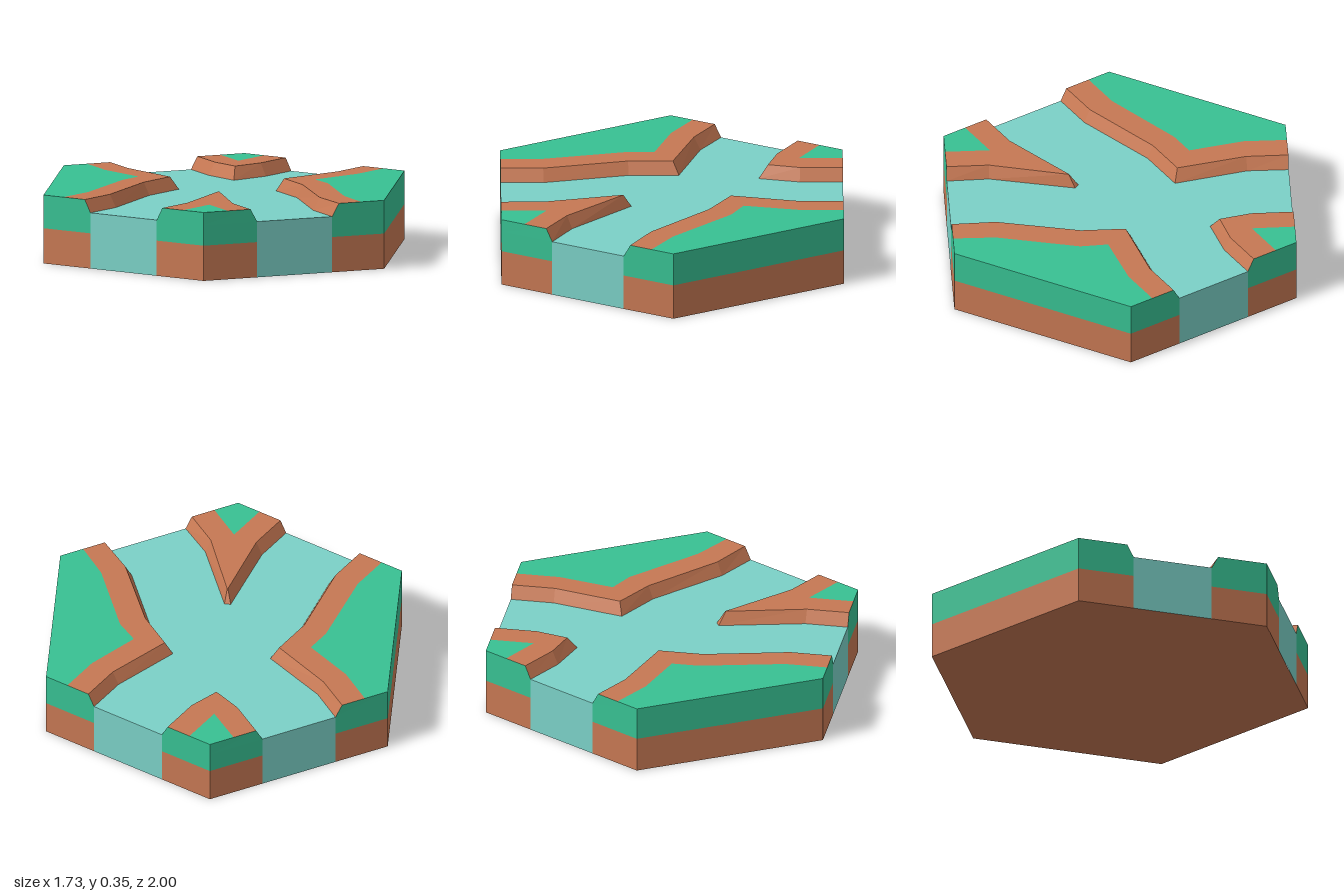
import * as THREE from 'three';

const H = 0.35, WATER = 0.285, SPLIT = 0.18, R = Math.sqrt(3) / 2;
const material = (color) => new THREE.MeshStandardMaterial({ color, flatShading: true });

// Four banks, clockwise from the back left. Points are [x, z]:
// foot = waterline, lip = top of the bevel, turf = grass edge, corners = hexagon corners
const BANKS = [
  {
    name: 'backLeftBank',
    foot: [[-R, -0.207], [-0.647, -0.207], [-0.217, -0.308], [0.037, -0.308], [0.148, -0.672], [0.254, -0.853]],
    lip: [[-R, -0.242], [-0.65, -0.242], [-0.22, -0.342], [0.007, -0.342], [0.116, -0.687], [0.222, -0.872]],
    turf: [[-R, -0.376], [-0.65, -0.376], [-0.222, -0.473], [-0.085, -0.473], [0, -0.745], [0.111, -0.936]],
    corners: [[-R, -0.5], [0, -1]],
  },
  {
    name: 'backRightBank',
    foot: [[0.61, -0.648], [0.503, -0.46], [0.44, -0.257], [0.647, -0.207], [R, -0.207]],
    lip: [[0.64, -0.63], [0.534, -0.443], [0.487, -0.284], [0.65, -0.242], [R, -0.242]],
    turf: [[0.75, -0.567], [0.643, -0.376], [R, -0.376]],
    corners: [[R, -0.5]],
  },
  {
    name: 'frontRightBank',
    foot: [[R, 0.207], [0.645, 0.207], [0.28, 0.122], [0.159, 0.34], [-0.138, 0.657], [-0.25, 0.856]],
    lip: [[R, 0.242], [0.645, 0.242], [0.297, 0.16], [0.185, 0.356], [-0.111, 0.678], [-0.217, 0.875]],
    turf: [[R, 0.37], [0.645, 0.37], [0.36, 0.307], [0.297, 0.434], [0, 0.75], [-0.111, 0.936]],
    corners: [[R, 0.5], [0, 1]],
  },
  {
    name: 'frontLeftBank',
    foot: [[-0.61, 0.648], [-0.508, 0.459], [-0.206, 0.137], [-0.22, 0.108], [-0.648, 0.207], [-R, 0.207]],
    lip: [[-0.64, 0.63], [-0.534, 0.443], [-0.247, 0.148], [-0.25, 0.146], [-0.65, 0.242], [-R, 0.242]],
    turf: [[-0.75, 0.567], [-0.637, 0.37], [-R, 0.37]],
    corners: [[-R, 0.5]],
  },
];

// Horizontal polygon at height y, facing up or down
function flat(points, y, down = false) {
  const s = down ? 1 : -1;
  const shape = new THREE.Shape(points.map(([x, z]) => new THREE.Vector2(x, s * z)));
  return new THREE.ShapeGeometry(shape).rotateX(s * Math.PI / 2).translate(0, y, 0);
}

// Upright or sloping strip between a low and a high path running clockwise from above
function strip(low, y0, high, y1) {
  const pos = [];
  for (let i = 0; i < low.length - 1; i++) {
    const pb = [low[i][0], y0, low[i][1]], qb = [low[i + 1][0], y0, low[i + 1][1]];
    const pt = [high[i][0], y1, high[i][1]], qt = [high[i + 1][0], y1, high[i + 1][1]];
    pos.push(...qb, ...pb, ...pt, ...qb, ...pt, ...qt);
  }
  const g = new THREE.BufferGeometry();
  g.setAttribute('position', new THREE.Float32BufferAttribute(pos, 3));
  g.computeVertexNormals();
  return g;
}

export function createModel() {
  const model = new THREE.Group();
  model.name = 'riverCrossingTile';
  const grass = material(0x38c193), dirt = material(0xc67853), water = material(0x7bd1c7);
  const add = (parent, name, geometry, mat) => {
    const mesh = new THREE.Mesh(geometry, mat);
    mesh.name = name;
    parent.add(mesh);
  };
  const last = (a) => a[a.length - 1];
  const reversed = (a) => [...a].reverse();

  BANKS.forEach(({ name, foot, lip, turf, corners }, i) => {
    const bank = new THREE.Group();
    bank.name = name;
    model.add(bank);
    // Outer rim, ending at the waterline or at the lip
    const rim = [foot[0], ...corners, last(foot)];
    const topRim = [lip[0], ...corners, last(lip)];

    add(bank, 'grassTop', flat([...corners, ...reversed(turf)], H), grass);
    add(bank, 'dirtTop', flat([...lip, ...reversed(turf)], H), dirt);
    add(bank, 'bevel', strip(reversed(foot), WATER, reversed(lip), H), dirt);
    add(bank, 'dirtWall', strip(rim, 0, rim, SPLIT), dirt);
    add(bank, 'grassWall', strip(rim, SPLIT, rim, WATER), grass);
    add(bank, 'grassWallTop', strip(rim, WATER, topRim, H), grass);

    // Water side between this bank and the next
    const mouth = [last(foot), BANKS[(i + 1) % 4].foot[0]];
    add(model, 'waterWall', strip(mouth, 0, mouth, WATER), water);
  });

  add(model, 'waterSurface', flat(BANKS.flatMap((b) => b.foot), WATER), water);
  add(model, 'base', flat(BANKS.flatMap((b) => b.corners), 0, true), dirt);
  return model;
}
